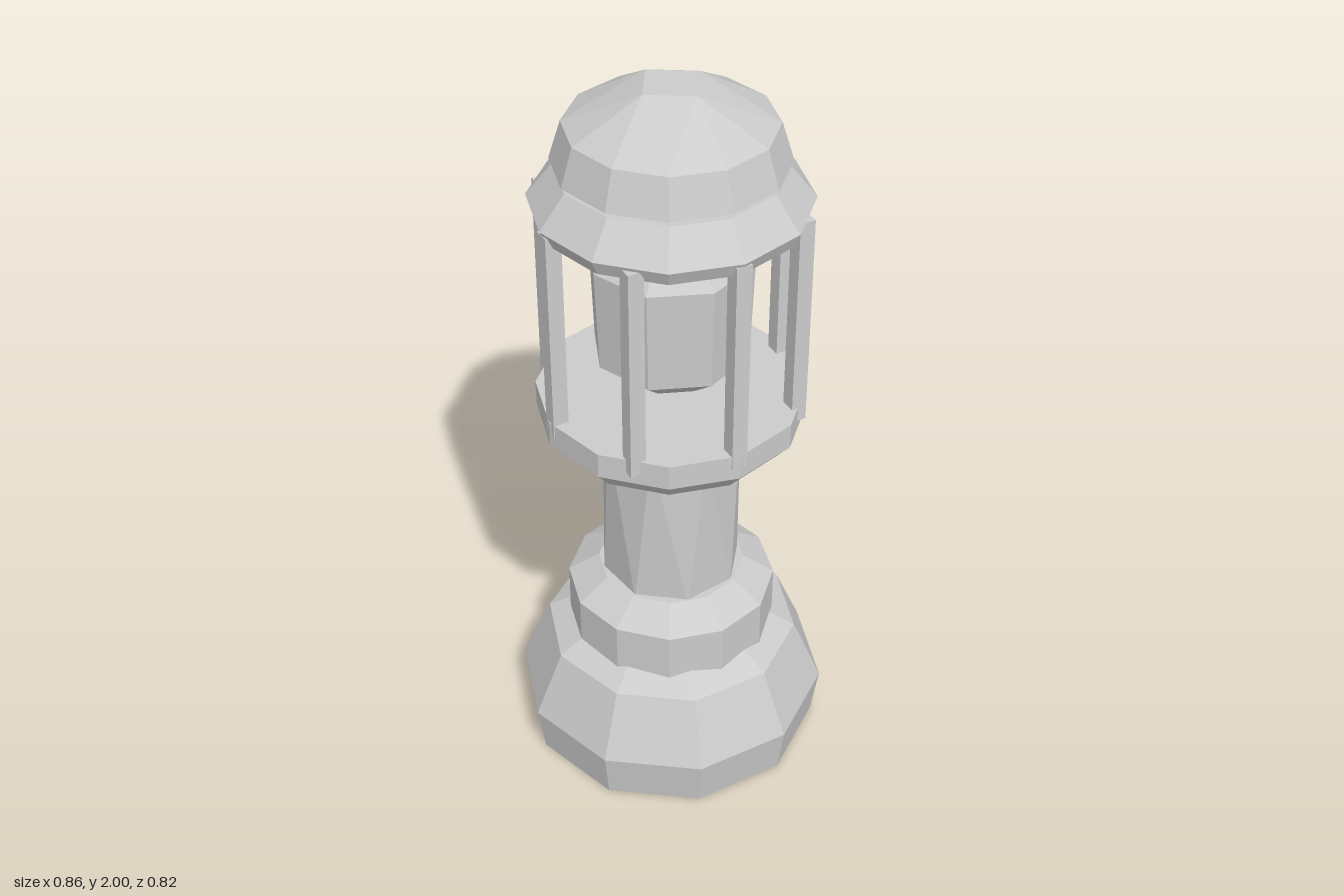
import * as THREE from 'three';

const material = new THREE.MeshStandardMaterial({ color: 0xcccccc, flatShading: true });

// Faceted, closed turned part; profile entries are [radius, y, twist in degrees].
function turned(name, sides, profile, start = 0, move) {
  const first = profile[0], last = profile[profile.length - 1];
  const rows = [[0, first[1], first[2]], ...profile, [0, last[1], last[2]]];
  const g = new THREE.LatheGeometry(rows.map(([r, y]) => new THREE.Vector2(r, y)), sides, start);
  const p = g.attributes.position;
  for (let i = 0; i < p.count; i++) {
    const row = i % rows.length, step = Math.floor(i / rows.length);
    const [r, y, twist = 0] = rows[row];
    let a = start + (step / sides) * Math.PI * 2 + THREE.MathUtils.degToRad(twist);
    if (move) a = move(a, row);
    p.setXYZ(i, r * Math.sin(a), y, r * Math.cos(a));
  }
  const flat = g.toNonIndexed();
  flat.computeVertexNormals();
  const mesh = new THREE.Mesh(flat, material);
  mesh.name = name;
  return mesh;
}

export function createModel() {
  const lantern = new THREE.Group();
  lantern.name = 'lantern';

  // Foot, collar and slightly twisted column
  lantern.add(turned('base', 10, [[0.41, 0], [0.43, 0.14], [0.35, 0.325], [0.26, 0.375]], Math.PI / 2));
  lantern.add(turned('collar', 12, [[0.285, 0.34], [0.285, 0.495], [0.2, 0.55]]));
  lantern.add(turned('column', 8, [[0.19, 0.53, -15], [0.188, 1.04, 0]]));

  // Lamp housing
  lantern.add(turned('lowerRing', 12, [[0.305, 1.015], [0.352, 1.07], [0.352, 1.14]]));
  lantern.add(turned('lamp', 8, [[0.12, 1.19], [0.205, 1.26], [0.215, 1.54], [0.13, 1.63]]));
  lantern.add(turned('canopy', 12, [[0.335, 1.66], [0.353, 1.70], [0.285, 1.785]]));

  // Cap: the twelve upper facets gather into a four-cornered crown
  const crownStart = THREE.MathUtils.degToRad(13);
  lantern.add(turned('cap', 12, [[0.293, 1.8], [0.262, 1.9], [0.09, 2]], 0, (a, row) =>
    row < 3 ? a : Math.round((a - crownStart) / (Math.PI / 2)) * (Math.PI / 2) + crownStart));

  // Eight square posts around the lamp
  const postGeometry = new THREE.BoxGeometry(0.042, 0.59, 0.042);
  const posts = new THREE.Group();
  posts.name = 'posts';
  for (let i = 0; i < 8; i++) {
    const a = (i * Math.PI) / 4;
    const post = new THREE.Mesh(postGeometry, material);
    post.name = 'post';
    post.position.set(0.328 * Math.sin(a), 1.395, 0.328 * Math.cos(a));
    posts.add(post);
  }
  lantern.add(posts);

  return lantern;
}
